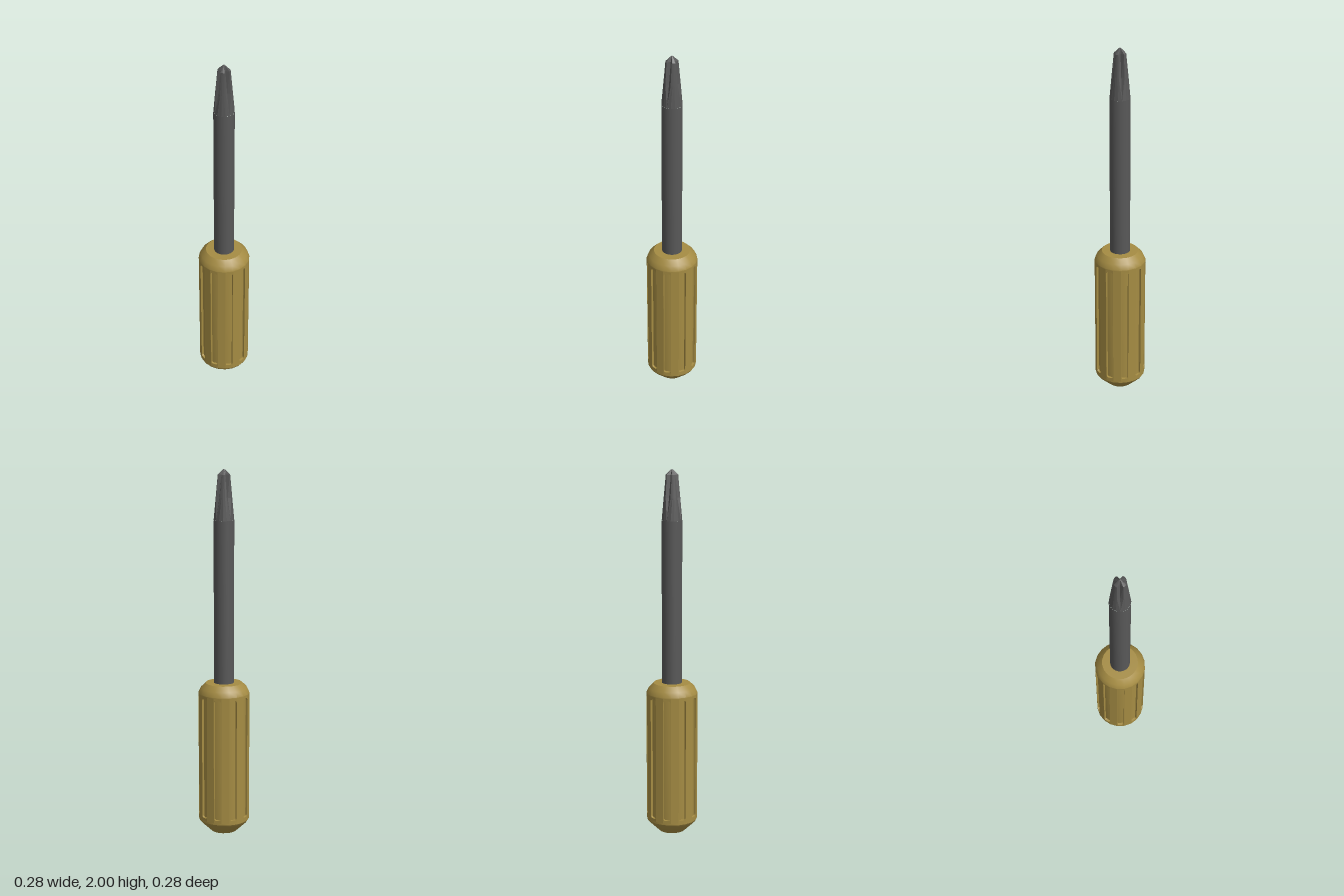
import * as THREE from 'three';
import { toCreasedNormals } from 'three/addons/utils/BufferGeometryUtils.js';

const SIDES = 20, R = 0.14, DEPTH = 0.013, Y0 = 0.08, Y1 = 0.785;
const STEP = (Math.PI * 2) / SIDES;

function lathe(points, sides) {
  const pts = points.map(([r, y]) => new THREE.Vector2(r, y));
  return toCreasedNormals(new THREE.LatheGeometry(pts, sides), 0.5);
}

// One flat side of the grip; grooved sides get a round-cornered slot
function gripPanel(grooved) {
  const w = R * Math.sin(STEP / 2), shape = new THREE.Shape();
  shape.moveTo(-w, Y0).lineTo(w, Y0).lineTo(w, Y1).lineTo(-w, Y1).closePath();
  if (grooved) {
    const a = w - 0.0025, b = Y0 + 0.015, t = Y1 - 0.012, r = 0.012;
    const slot = new THREE.Path();
    slot.moveTo(-a, b + r).lineTo(-a, t - r).quadraticCurveTo(-a, t, -a + r, t);
    slot.lineTo(a - r, t).quadraticCurveTo(a, t, a, t - r);
    slot.lineTo(a, b + r).quadraticCurveTo(a, b, a - r, b);
    slot.lineTo(-a + r, b).quadraticCurveTo(-a, b, -a, b + r);
    shape.holes.push(slot);
  }
  const geo = new THREE.ExtrudeGeometry(shape, { depth: DEPTH, bevelEnabled: false, curveSegments: 4 });
  return geo.translate(0, 0, R * Math.cos(STEP / 2) - DEPTH);
}

// Cross-shaped driver tip: four arms with a notch between each pair
function bitGeometry() {
  // height, arm radius, half angle of an arm, notch floor along x and z
  const levels = [
    [1.73, 0.055, Math.PI / 4, 0.0389],
    [1.85, 0.044, 0.44, 0.022],
    [1.97, 0.033, 0.31, 0.009],
    [1.995, 0.007, 0.31, 0.003],
    [2.0, 0, 0, 0],
  ];
  const n = 24, pos = [], index = [];
  for (const [y, r, half, floor] of levels) {
    for (let arm = 0; arm < 4; arm++) {
      const mid = arm * Math.PI / 2;
      for (let k = -2; k <= 2; k++) {
        const a = mid + (half * k) / 2;
        pos.push(r * Math.sin(a), y, r * Math.cos(a));
      }
      const d = mid + Math.PI / 4, f = floor * Math.SQRT2;
      pos.push(f * Math.sin(d), y, f * Math.cos(d));
    }
  }
  for (let i = 0; i < levels.length - 1; i++) {
    for (let j = 0; j < n; j++) {
      const a = i * n + j, b = i * n + ((j + 1) % n);
      index.push(a, b, b + n, a, b + n, a + n);
    }
  }
  const geo = new THREE.BufferGeometry();
  geo.setAttribute('position', new THREE.Float32BufferAttribute(pos, 3));
  geo.setIndex(index);
  geo.computeVertexNormals();
  return geo;
}

export function createModel() {
  const model = new THREE.Group();
  const gold = new THREE.MeshStandardMaterial({ color: 0xa58c43 });
  const steel = new THREE.MeshStandardMaterial({ color: 0x585858 });
  const steelFlat = new THREE.MeshStandardMaterial({ color: 0x585858, flatShading: true });
  const add = (parent, name, geo, mat) => {
    const mesh = new THREE.Mesh(geo, mat);
    mesh.name = name;
    parent.add(mesh);
    return mesh;
  };

  // Handle: chamfered ends around a core that forms the groove floors
  const handle = new THREE.Group();
  handle.name = 'handle';
  model.add(handle);
  const core = R - DEPTH;
  add(handle, 'handleCore', lathe([
    [0, 0], [0.072, 0], [0.132, 0.057], [R, 0.07], [R, Y0], [core, Y0],
    [core, Y1], [R, Y1], [R, 0.79], [0.127, 0.818], [0.1, 0.845], [0, 0.848],
  ], SIDES), gold);

  // Grip: grooves and ribs alternate around the handle
  const ribGeo = gripPanel(false), grooveGeo = gripPanel(true);
  for (let k = 0; k < SIDES; k++) {
    const grooved = k % 2 === 1;
    const panel = add(handle, grooved ? 'gripGroove' : 'gripRib', grooved ? grooveGeo : ribGeo, gold);
    panel.rotation.y = (k + 0.5) * STEP;
  }

  // Shaft and tip
  add(model, 'shaft', lathe([[0.055, 0.83], [0.055, 1.73]], 32), steel);
  add(model, 'driverTip', bitGeometry(), steelFlat);
  return model;
}
